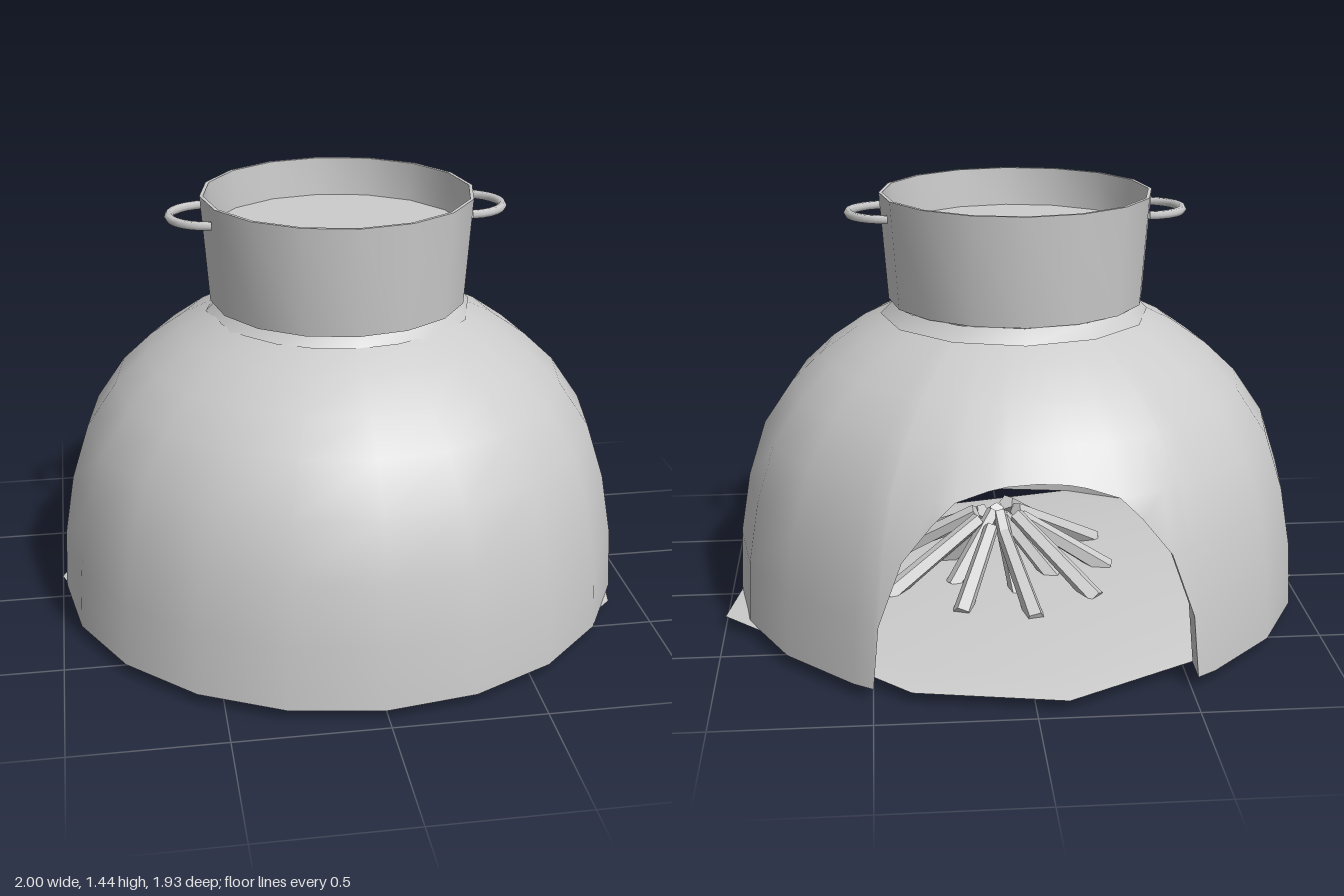
import * as THREE from 'three';
import { mergeVertices, toCreasedNormals } from 'three/addons/utils/BufferGeometryUtils.js';

const CX = -0.011, CZ = -0.012, BASE = 0.04, WALL = 0.085, MOUTH = 0.83;
// Dome outline as [radius, height]
const PROFILE = [[0.974, 0.04], [0.964, 0.25], [0.928, 0.46], [0.867, 0.65],
  [0.765, 0.80], [0.66, 0.90], [0.54, 0.985], [0.43, 1.04]];

const material = () => new THREE.MeshStandardMaterial({ color: 0xcccccc, side: THREE.DoubleSide });

function addMesh(parent, name, geometry, mat = material()) {
  const mesh = new THREE.Mesh(geometry, mat);
  mesh.name = name;
  parent.add(mesh);
  return mesh;
}

function domeRadius(y) {
  for (let i = 1; i < PROFILE.length; i++) {
    const [r0, y0] = PROFILE[i - 1], [r1, y1] = PROFILE[i];
    if (y <= y1) return r0 + (r1 - r0) * (y - y0) / (y1 - y0);
  }
  return PROFILE.at(-1)[0];
}

// Skin a closed ring of point columns
function skin(columns) {
  const rows = columns[0].length, n = columns.length, index = [];
  for (let i = 0; i < n; i++) {
    for (let j = 0; j < rows - 1; j++) {
      const a = i * rows + j, b = ((i + 1) % n) * rows + j;
      index.push(a, a + 1, b, b, a + 1, b + 1);
    }
  }
  const g = new THREE.BufferGeometry().setFromPoints(columns.flat());
  g.setIndex(index);
  const merged = mergeVertices(g, 1e-4);
  merged.computeVertexNormals();
  return merged;
}

function buildDome() {
  const dome = new THREE.Group();
  dome.name = 'ovenDome';
  // Columns: angle from the back and the height at which the wall begins
  const side = [0.04, 0.25, 0.46, 0.58, 0.65, 0.685, 0.697]
    .map(y => [Math.acos(MOUTH / domeRadius(y)), y]);
  const columns = [...side.map(([a, y]) => [-a, y]), [0, 0.703], ...side.slice().reverse()];
  for (let k = 2; k <= 18; k++) columns.push([k * Math.PI / 10, BASE]);

  const outer = [], inner = [], rim = [];
  for (const [angle, start] of columns) {
    const point = (r, a, y) => new THREE.Vector3(CX + r * Math.sin(a), y, CZ - r * Math.cos(a));
    // The mouth is cut straight through the wall
    const rStart = domeRadius(start);
    const inMouth = Math.abs(angle) < 0.6;
    const inAngle = inMouth ? Math.asin(rStart * Math.sin(angle) / (rStart - WALL)) : angle;
    const heights = PROFILE.map(p => Math.max(p[1], start));
    const out = heights.map(y => point(domeRadius(y), angle, y));
    const inn = heights.map(y => point(domeRadius(y) - WALL, inAngle, y)).reverse();
    outer.push(out);
    inner.push(inn);
    rim.push([inn.at(-1).clone(), out[0].clone()]);
  }
  addMesh(dome, 'outerWall', skin(outer));
  addMesh(dome, 'innerWall', skin(inner));
  addMesh(dome, 'mouthAndBottomEdge', toCreasedNormals(skin(rim), 0.6));
  return dome;
}

function buildPot() {
  const pot = new THREE.Group();
  pot.name = 'pot';
  const outline = [[0, 1.08], [0.433, 1.08], [0.459, 1.442], [0.447, 1.442], [0.438, 1.31], [0, 1.31]];
  const body = new THREE.LatheGeometry(outline.map(p => new THREE.Vector2(...p)), 16);
  addMesh(pot, 'potBody', toCreasedNormals(body, Math.PI / 5));
  for (const s of [-1, 1]) {
    const ring = new THREE.TorusGeometry(0.13, 0.015, 6, 12, Math.PI);
    ring.rotateZ(-Math.PI / 2).rotateX(Math.PI / 2);
    const handle = addMesh(pot, s > 0 ? 'leftHandle' : 'rightHandle', ring);
    handle.position.set(s * 0.432, 1.376, -0.003);
    if (s < 0) handle.rotation.y = Math.PI;
  }
  pot.position.set(-0.012, 0, -0.01);
  return pot;
}

// Rough ground sheet, rising gently towards the middle
function buildFloor() {
  const edge = [[-0.1, -0.965], [0.38, -0.875], [1, -0.27], [0.88, 0.4], [0.67, 0.61],
    [-0.29, 0.84], [-0.74, 0.61], [-1, -0.08], [-0.76, -0.6]];
  const rings = [[1, 0.04], [0.88, 0.06], [0, 0.095]];
  return skin(edge.map(([x, z]) => rings.map(([k, y]) => new THREE.Vector3(x * k, y, z * k))));
}

function buildFirewood() {
  const wood = new THREE.Group();
  wood.name = 'firewood';
  let seed = 7;
  const rand = () => (seed = (seed * 16807) % 2147483647) / 2147483647;
  const stick = (angle, r0, r1, y0, y1, thick) => {
    const at = (r, y) => new THREE.Vector3(0.05 + r * Math.sin(angle), y, r * Math.cos(angle));
    const a = at(r0, y0), b = at(r1, y1), dir = b.clone().sub(a);
    const mat = material();
    mat.flatShading = true;
    const m = addMesh(wood, 'stick', new THREE.CylinderGeometry(thick * 0.8, thick, dir.length(), 5), mat);
    m.position.copy(a).add(b).multiplyScalar(0.5);
    m.quaternion.setFromUnitVectors(new THREE.Vector3(0, 1, 0), dir.normalize());
  };
  // Outer ring leans on the middle, inner ring stands steeper
  for (let i = 0; i < 10; i++) {
    stick(i * Math.PI / 5 + 0.3 * rand(), 0.38 + 0.1 * rand(), 0.08, 0.068, 0.23 + 0.07 * rand(), 0.034);
  }
  for (let i = 0; i < 6; i++) {
    stick(i * Math.PI / 3 + 0.4 * rand(), 0.2 + 0.06 * rand(), 0.02, 0.068, 0.24 + 0.06 * rand(), 0.032);
  }
  // One stick pokes out below the sheet
  stick(1.03, 0.53, 0.1, 0.032, 0.24, 0.036);
  return wood;
}

export function createModel() {
  const model = new THREE.Group();
  model.name = 'domeOvenWithPot';
  model.add(buildDome(), buildPot(), buildFirewood());
  addMesh(model, 'floor', toCreasedNormals(buildFloor(), 0.3));

  // Sloping collar between dome and pot
  const collar = new THREE.CylinderGeometry(0.41, 0.455, 0.045, 12, 1, true);
  addMesh(model, 'collar', toCreasedNormals(collar, 0.6)).position.set(-0.005, 1.057, -0.035);
  return model;
}
